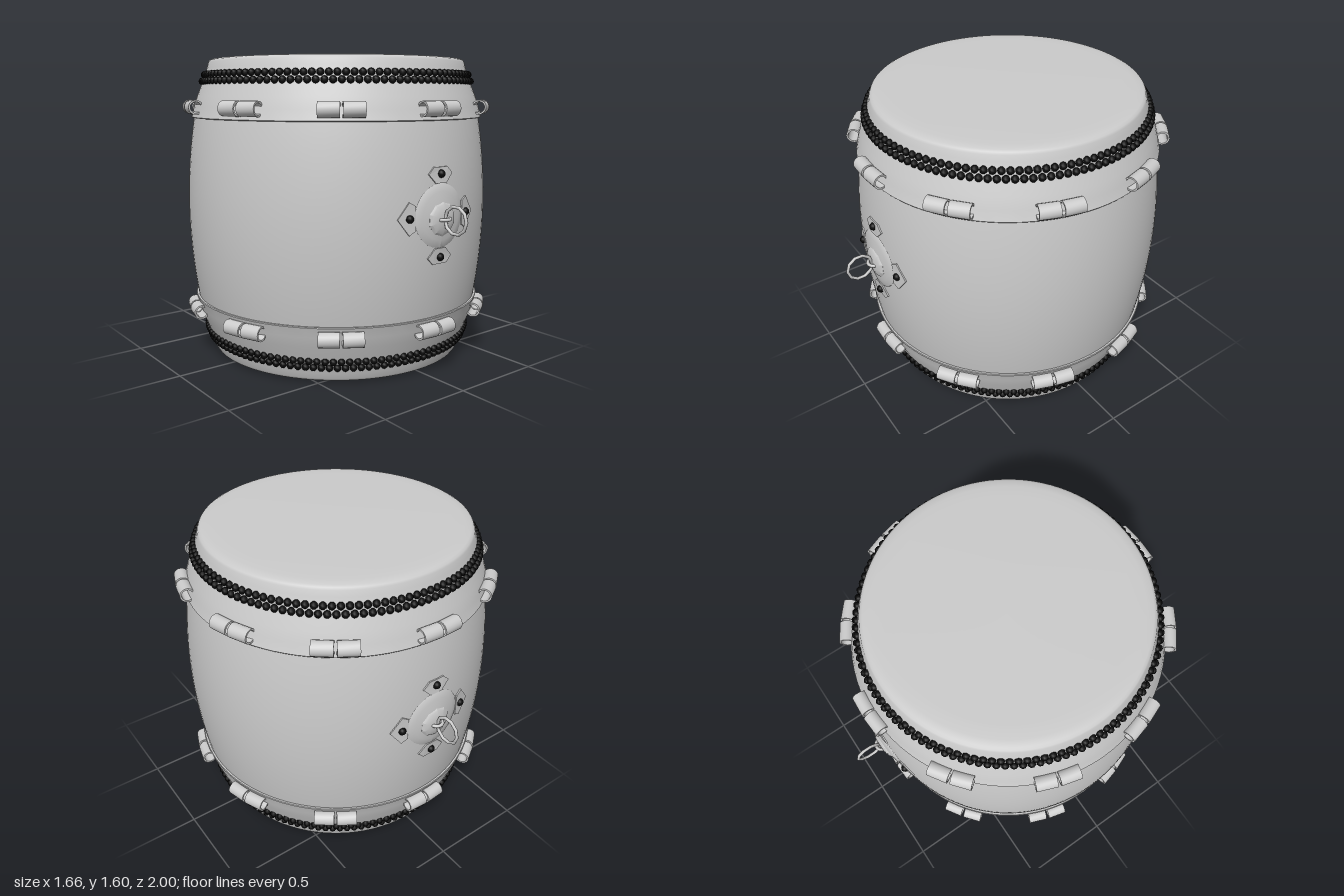
import * as THREE from 'three';
import { mergeGeometries, toCreasedNormals } from 'three/addons/utils/BufferGeometryUtils.js';

const MID = 0.802, TAU = Math.PI * 2;
const grey = new THREE.MeshStandardMaterial({ color: 0xcccccc });
const greyDouble = new THREE.MeshStandardMaterial({ color: 0xcccccc, side: THREE.DoubleSide });
const black = new THREE.MeshStandardMaterial({ color: 0x0c0c0c });

// Radius of the bulging barrel at a height
const barrelRadius = y => 0.827 - 0.17 * (y - MID) ** 2;

function add(parent, name, geometry, material = grey) {
  const mesh = new THREE.Mesh(geometry, material);
  mesh.name = name;
  parent.add(mesh);
  return mesh;
}

function lathe(points, segments = 96, crease = 0.5) {
  const geo = new THREE.LatheGeometry(points.map(p => new THREE.Vector2(p[0], p[1])), segments);
  return toCreasedNormals(geo, crease);
}

// Wrap a flat part (facing +z, z = height above the barrel) onto the front of the barrel
function wrap(geo, cx, cy) {
  const p = geo.attributes.position;
  for (let i = 0; i < p.count; i++) {
    const y = cy + p.getY(i), r = barrelRadius(y);
    const a = (cx + p.getX(i)) / r, d = r + p.getZ(i);
    p.setXYZ(i, Math.sin(a) * d, y, Math.cos(a) * d);
  }
  geo.computeVertexNormals();
  return geo;
}

// One drum head, for the upper half: skin, two rows of tacks, rolled loops
function makeHead() {
  const head = new THREE.Group();
  const skin = [
    [0.772, 1.29], [0.797, 1.288], [0.800, 1.292], [0.797, 1.30], [0.786, 1.345], [0.768, 1.40],
    [0.748, 1.45], [0.737, 1.48], [0.724, 1.515], [0.712, 1.55], [0.704, 1.58],
    [0.698, 1.591], [0.685, 1.597], [0.65, 1.601], [0.59, 1.603], [0, 1.604]
  ];
  add(head, 'drumSkin', lathe(skin, 96, 0.7));

  const tacks = [];
  [[1.515, 0.726], [1.48, 0.739]].forEach(([y, r], row) => {
    const count = 116;
    for (let i = 0; i < count; i++) {
      const a = (i + row * 0.5) / count * TAU;
      const tack = new THREE.SphereGeometry(0.019, 8, 6);
      tacks.push(tack.translate(Math.sin(a) * r, y, Math.cos(a) * r));
    }
  });
  add(head, 'skinTacks', mergeGeometries(tacks), black);

  // Ten pairs of hollow rolled loops lying along the hem
  const loops = [];
  const wall = [[0.029, -0.052], [0.038, -0.052], [0.038, 0.052], [0.029, 0.052], [0.029, -0.052]];
  for (let i = 0; i < 10; i++) {
    for (const side of [-1, 1]) {
      const loop = lathe(wall, 20).rotateZ(Math.PI / 2);
      loop.rotateY(side * 0.06).translate(side * 0.058, 1.345, 0.804);
      loops.push(loop.rotateY(i / 10 * TAU));
    }
  }
  add(head, 'rolledLoops', mergeGeometries(loops), greyDouble);
  return head;
}

// Ring handle on the front of the barrel
function makeHandle() {
  const handle = new THREE.Group(), cy = 0.832;

  // Shallow round backing plate
  const plate = new THREE.LatheGeometry(
    [[0.16, -0.006], [0.157, 0.003], [0.12, 0.009], [0.06, 0.016], [0, 0.018]]
      .map(p => new THREE.Vector2(...p)), 40).rotateX(Math.PI / 2);
  add(handle, 'backingPlate', wrap(plate, 0, cy), greyDouble);

  // Four clipped diamond tabs, each with a rivet
  const outline = [[0.08, 0], [0.042, 0.038], [-0.06, 0.075], [-0.085, 0.05],
    [-0.085, -0.05], [-0.06, -0.075], [0.042, -0.038]].map(p => new THREE.Vector2(...p));
  const side = [[0.062, 0], [0, 0.08], [-0.035, 0.06], [-0.035, -0.06], [0, -0.08]]
    .map(p => new THREE.Vector2(...p));
  for (let i = 0; i < 4; i++) {
    const a = i * Math.PI / 2, reach = i % 2 ? 0.204 : 0.192;
    const shape = i % 2 ? new THREE.Shape([[0.033, -0.045], [0.033, 0.045], [0, 0.079],
      [-0.045, 0.035], [-0.045, -0.035], [0, -0.079]].map(p => new THREE.Vector2(...p)))
      : new THREE.Shape(side);
    const tab = new THREE.ExtrudeGeometry(shape, { depth: 0.013, bevelEnabled: false });
    tab.translate(0, 0, -0.006).rotateZ(a);
    const x = Math.cos(a) * reach, y = Math.sin(a) * reach;
    add(handle, 'tab', wrap(tab, x, cy + y));
    const rivet = new THREE.SphereGeometry(0.02, 14, 10);
    const r = barrelRadius(cy + y) + 0.006, t = x / r;
    add(handle, 'rivet', rivet, black).position.set(Math.sin(t) * r, cy + y, Math.cos(t) * r);
  }

  // Domed boss, staple and ring
  const boss = lathe([[0.088, 0.815], [0.088, 0.836], [0.076, 0.846], [0.05, 0.855], [0, 0.86]], 10, 0.4);
  add(handle, 'boss', boss.rotateX(Math.PI / 2)).position.y = 0.818;
  const staple = new THREE.TorusGeometry(0.032, 0.009, 8, 12, Math.PI).rotateX(Math.PI / 2);
  add(handle, 'staple', staple).position.set(0, 0.818, 0.845);
  const ring = new THREE.TorusGeometry(0.068, 0.0085, 8, 10).rotateY(Math.PI / 2);
  add(handle, 'ring', ring).position.set(0, 0.82, 0.9235);
  return handle;
}

export function createModel() {
  const drum = new THREE.Group();
  drum.name = 'drum';

  // Bulging wooden barrel
  const profile = [];
  for (let i = 0; i <= 20; i++) {
    const y = 0.27 + i / 20 * (2 * MID - 0.54);
    profile.push([barrelRadius(y), y]);
  }
  add(drum, 'barrel', lathe(profile), greyDouble);

  // Matching heads at both ends
  const top = makeHead();
  top.name = 'topHead';
  const bottom = makeHead();
  bottom.name = 'bottomHead';
  bottom.rotation.x = Math.PI;
  bottom.position.y = 2 * MID;
  drum.add(top, bottom);

  // Ring handles on front and back
  for (const [name, turn] of [['frontHandle', 0], ['backHandle', Math.PI]]) {
    const handle = makeHandle();
    handle.name = name;
    handle.rotation.y = turn;
    drum.add(handle);
  }
  return drum;
}
